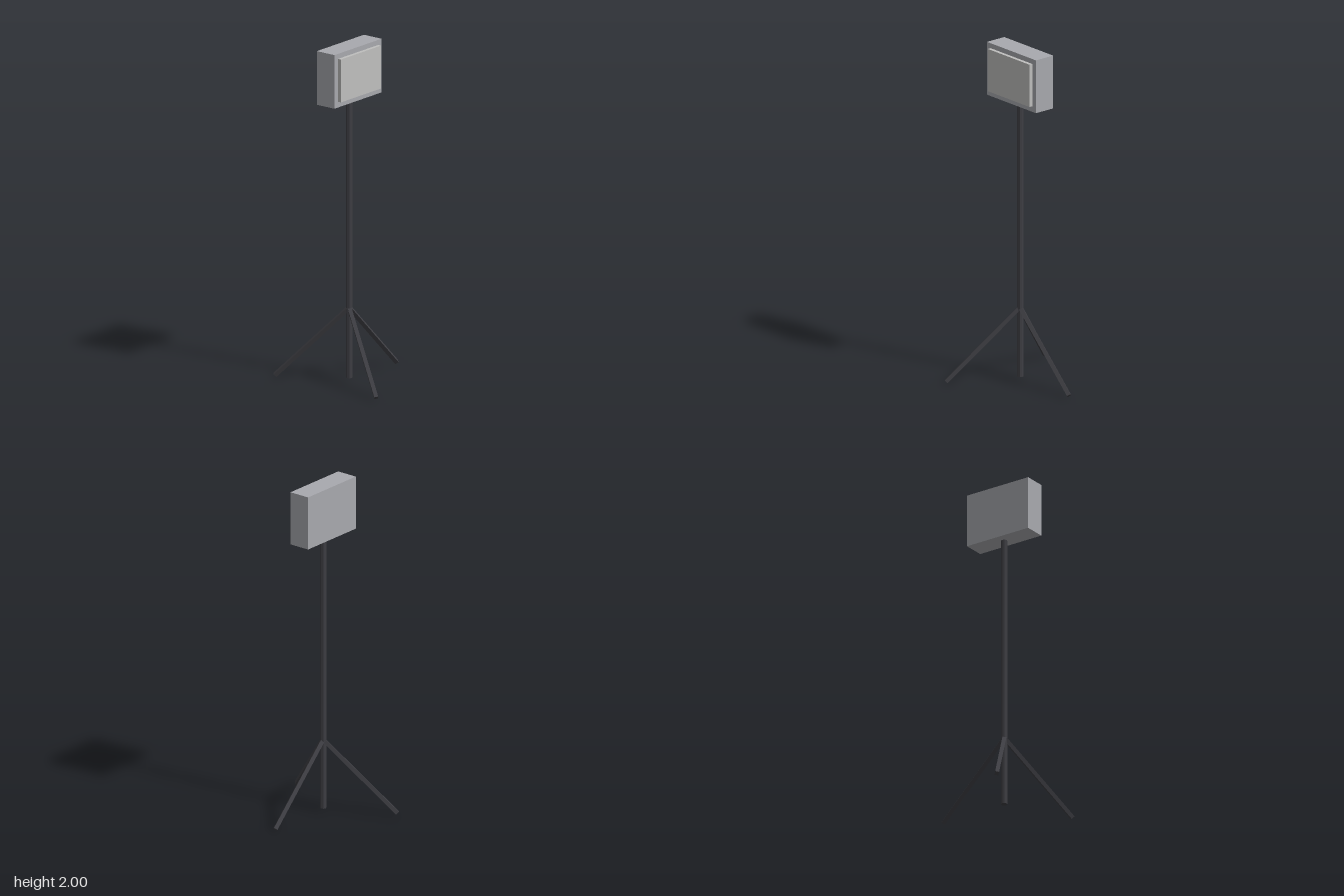
import * as THREE from 'three';

const AXIS_X = -0.107; // pole position
const UP = new THREE.Vector3(0, 1, 0);

function material(name, color) {
  const m = new THREE.MeshStandardMaterial({ color });
  m.name = name;
  return m;
}

export function createModel() {
  const group = new THREE.Group();
  group.name = 'standWithBox';
  const metal = material('darkMetal', 0x3e3e43);
  const casing = material('greyCasing', 0xa8a9ae);
  const glass = material('paleGlass', 0xbfbfbe);

  function add(name, geometry, mat, x, y, z) {
    const mesh = new THREE.Mesh(geometry, mat);
    mesh.name = name;
    mesh.position.set(x, y, z);
    group.add(mesh);
    return mesh;
  }

  // Faceted rod running between two points
  function rod(name, from, to, radius, sides) {
    const dir = to.clone().sub(from);
    const geometry = new THREE.CylinderGeometry(radius, radius, dir.length(), sides).toNonIndexed();
    geometry.computeVertexNormals();
    const mid = from.clone().add(to).multiplyScalar(0.5);
    const mesh = add(name, geometry, metal, mid.x, mid.y, mid.z);
    mesh.quaternion.setFromUnitVectors(UP, dir.normalize());
  }

  // Pole
  rod('pole', new THREE.Vector3(AXIS_X, 0.016, 0), new THREE.Vector3(AXIS_X, 1.69, 0), 0.0187, 8);

  // Three splayed legs, from foot to hub
  const hub = new THREE.Vector3(AXIS_X, 0.434, 0);
  for (let i = 0; i < 3; i++) {
    const a = (i * Math.PI * 2) / 3;
    const foot = new THREE.Vector3(AXIS_X + 0.431 * Math.cos(a), 0.0115, 0.431 * Math.sin(a));
    rod('leg' + (i + 1), foot, hub, 0.0162, 4);
  }

  // Head box with a raised front panel
  add('headBox', new THREE.BoxGeometry(0.43, 0.32, 0.13), casing, AXIS_X, 1.84, 0);
  add('frontPanel', new THREE.BoxGeometry(0.366, 0.256, 0.03), glass, AXIS_X, 1.842, 0.071);

  return group;
}
